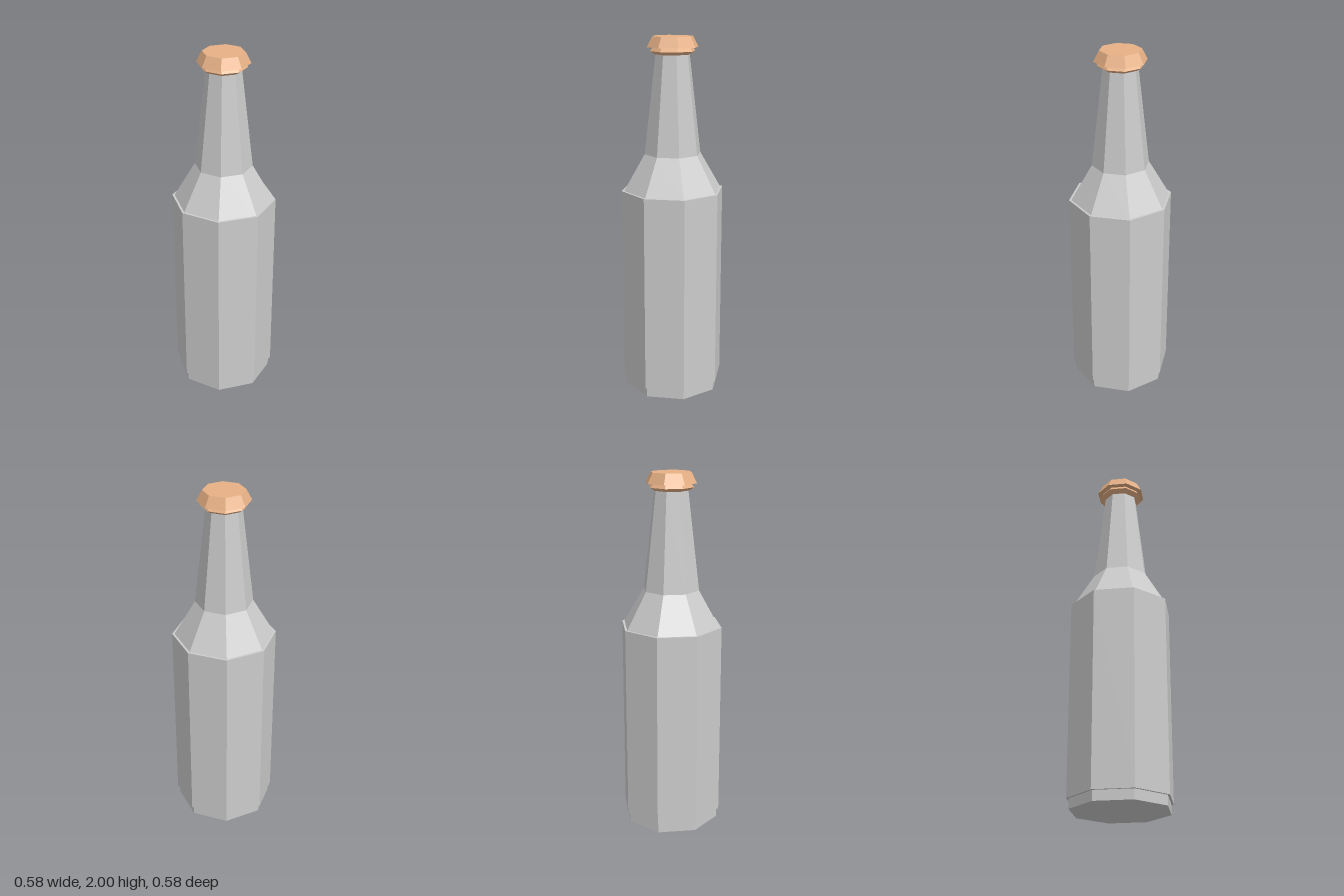
import * as THREE from 'three';

const SIDES = 8;

// Faceted solid of revolution; profile points are [radius, height], bottom to top.
function turned(name, profile, color) {
  const points = profile.map(([r, y]) => new THREE.Vector2(r, y));
  const material = new THREE.MeshStandardMaterial({ color, flatShading: true });
  const mesh = new THREE.Mesh(new THREE.LatheGeometry(points, SIDES), material);
  mesh.name = name;
  return mesh;
}

export function createModel() {
  const bottle = new THREE.Group();
  bottle.name = 'bottle';

  // Glass: base, straight body, shoulder and tapering neck
  bottle.add(turned('glass', [
    [0, 0], [0.275, 0], [0.275, 1.163], [0.158, 1.365], [0.094, 1.91], [0, 1.91],
  ], 0xcccccc));

  // Label sleeve standing slightly proud of the body
  bottle.add(turned('labelSleeve', [
    [0.27, 0.055], [0.288, 0.055], [0.288, 1.163], [0.27, 1.163],
  ], 0xcccccc));

  // Collar under the cap
  bottle.add(turned('collar', [
    [0.085, 1.905], [0.1, 1.905], [0.125, 1.922], [0.108, 1.945],
  ], 0xe6b085));

  // Flared crown cap
  bottle.add(turned('cap', [
    [0, 1.943], [0.142, 1.943], [0.112, 2], [0, 2],
  ], 0xe6b085));

  return bottle;
}
